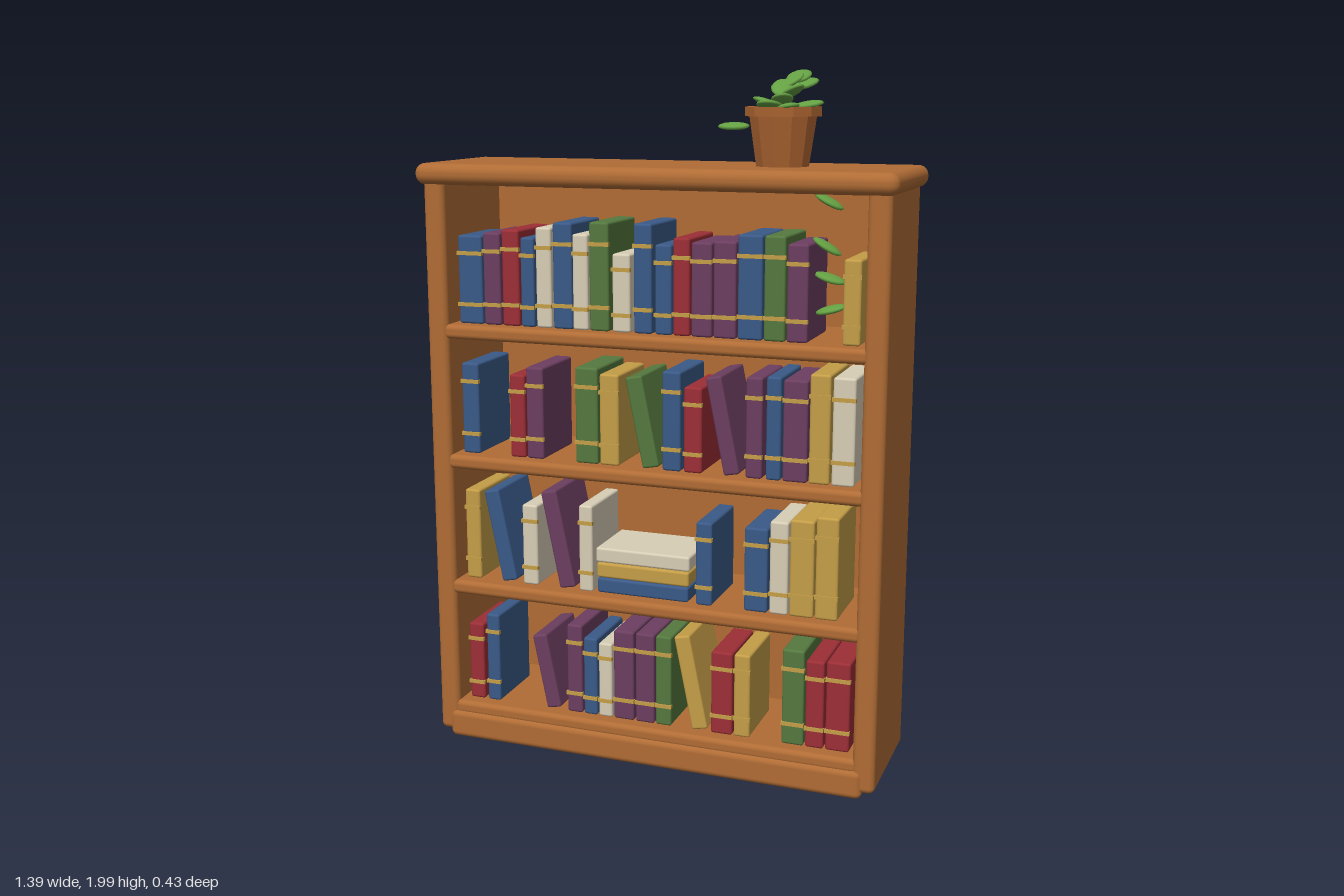
import * as THREE from 'three';
import { RoundedBoxGeometry } from 'three/addons/geometries/RoundedBoxGeometry.js';

const material = (name, color, extra = {}) => {
  const m = new THREE.MeshStandardMaterial({ color, ...extra });
  m.name = name;
  return m;
};

export function createModel() {
  const root = new THREE.Group();
  root.name = 'bookcase';

  const wood = material('wood', 0xb06c35);
  const terracotta = material('terracotta', 0xa8622f, { flatShading: true, side: THREE.DoubleSide });
  const soil = material('soil', 0x4a3020);
  const leafGreen = material('leaf green', 0x65a043);
  const cloth = {
    B: material('blue cloth', 0x3a5a88),
    P: material('purple cloth', 0x6c3e60),
    R: material('red cloth', 0x9c2e36),
    C: material('cream cloth', 0xd8ceb6),
    G: material('green cloth', 0x55793f),
    Y: material('ochre and gold', 0xc49d47),
  };

  const group = (name, parent = root) => {
    const g = new THREE.Group();
    g.name = name;
    parent.add(g);
    return g;
  };
  const add = (parent, name, geometry, mat, x, y, z) => {
    const mesh = new THREE.Mesh(geometry, mat);
    mesh.name = name;
    mesh.position.set(x, y, z);
    parent.add(mesh);
    return mesh;
  };
  const block = (w, h, d, r) => new RoundedBoxGeometry(w, h, d, 3, r);

  // Carcass
  const carcass = group('carcass');
  add(carcass, 'topSlab', block(1.39, 0.06, 0.43, 0.028), wood, 0, 1.708, 0);
  for (const s of [-1, 1]) {
    add(carcass, s > 0 ? 'leftSide' : 'rightSide', block(0.064, 1.68, 0.384, 0.018), wood, s * 0.644, 0.862, 0.002);
  }
  add(carcass, 'backPanel', new THREE.BoxGeometry(1.25, 1.62, 0.02), wood, 0, 0.85, -0.176);
  add(carcass, 'plinth', block(1.28, 0.085, 0.045, 0.018), wood, 0, 0.046, 0.178);
  const shelfTops = [0.119, 0.504, 0.891, 1.278];
  for (const y of shelfTops) {
    add(carcass, 'shelf', block(1.25, 0.042, 0.36, 0.015), wood, 0, y - 0.021, 0.012);
  }

  // Books
  const books = group('books');
  const spineZ = 0.15, depth = 0.21;
  // Each book: colour, left, right, height; a fifth entry makes it lean
  const fillShelf = (baseY, list) => {
    for (const [c, left, right, h, lean] of list) {
      const w = right - left;
      const book = group('book', books);
      book.position.set((left + right) / 2, baseY, 0);
      add(book, 'cover', new RoundedBoxGeometry(w, h, depth, 2, 0.007), cloth[c], 0, h / 2, spineZ - depth / 2);
      if (lean) {
        book.rotation.z = 0.2;
        book.position.y += 0.004;
        continue;
      }
      for (const t of [0.22, 0.8]) {
        add(book, 'spineBand', new THREE.BoxGeometry(w + 0.003, 0.011, 0.012), cloth.Y, 0, h * t, spineZ - 0.002);
      }
    }
  };
  fillShelf(shelfTops[0], [
    ['R', -0.592, -0.544, 0.24], ['B', -0.533, -0.491, 0.275], ['P', -0.336, -0.29, 0.23, true],
    ['P', -0.268, -0.22, 0.275], ['B', -0.215, -0.172, 0.24], ['C', -0.167, -0.125, 0.23],
    ['P', -0.119, -0.056, 0.275], ['P', -0.05, 0.008, 0.275], ['G', 0.013, 0.061, 0.275],
    ['Y', 0.125, 0.173, 0.285, true], ['R', 0.183, 0.247, 0.25], ['Y', 0.252, 0.3, 0.25],
    ['G', 0.395, 0.459, 0.285], ['R', 0.464, 0.517, 0.26], ['R', 0.523, 0.592, 0.265],
  ]);
  fillShelf(shelfTops[1], [
    ['Y', -0.592, -0.544, 0.275], ['B', -0.475, -0.427, 0.28, true], ['C', -0.406, -0.358, 0.245],
    ['P', -0.288, -0.238, 0.295, true], ['C', -0.225, -0.183, 0.26], ['B', 0.135, 0.183, 0.245],
    ['B', 0.279, 0.347, 0.245], ['C', 0.353, 0.406, 0.27], ['Y', 0.411, 0.48, 0.28], ['Y', 0.485, 0.549, 0.295],
  ]);
  fillShelf(shelfTops[2], [
    ['B', -0.592, -0.538, 0.27], ['R', -0.438, -0.39, 0.245], ['P', -0.385, -0.332, 0.27],
    ['G', -0.231, -0.162, 0.28], ['Y', -0.156, -0.098, 0.265], ['G', -0.026, 0.024, 0.265, true],
    ['B', 0.034, 0.088, 0.285], ['R', 0.098, 0.151, 0.245], ['P', 0.216, 0.262, 0.28, true],
    ['P', 0.279, 0.326, 0.285], ['B', 0.337, 0.379, 0.29], ['P', 0.385, 0.454, 0.285],
    ['Y', 0.459, 0.517, 0.305], ['C', 0.523, 0.586, 0.3],
  ]);
  fillShelf(shelfTops[3], [
    ['B', -0.592, -0.517, 0.255], ['P', -0.512, -0.459, 0.265], ['R', -0.453, -0.4, 0.275],
    ['B', -0.395, -0.353, 0.255], ['C', -0.347, -0.3, 0.285], ['B', -0.294, -0.236, 0.3],
    ['C', -0.234, -0.188, 0.27], ['G', -0.183, -0.125, 0.305], ['C', -0.114, -0.061, 0.22],
    ['B', -0.05, 0.003, 0.305], ['B', 0.013, 0.061, 0.25], ['R', 0.066, 0.114, 0.27],
    ['P', 0.119, 0.178, 0.26], ['P', 0.183, 0.247, 0.265], ['B', 0.252, 0.321, 0.285],
    ['G', 0.326, 0.385, 0.285], ['P', 0.39, 0.448, 0.265], ['Y', 0.544, 0.592, 0.23],
  ]);

  // Flat stack of three books
  ['B', 'Y', 'C'].forEach((c, i) => {
    add(books, 'stackedBook', new RoundedBoxGeometry(0.28 + i * 0.004, 0.044, 0.2, 2, 0.007), cloth[c],
      -0.028, shelfTops[1] + 0.024 + i * 0.046, 0.05);
  });

  // Plant pot
  const plant = group('pottedPlant');
  plant.position.set(0.33, 1.737, 0);
  const profile = [[0, 0], [0.074, 0], [0.094, 0.135], [0.107, 0.135], [0.107, 0.16], [0.09, 0.16], [0.085, 0.13]]
    .map(([r, y]) => new THREE.Vector2(r, y));
  add(plant, 'pot', new THREE.LatheGeometry(profile, 12), terracotta, 0, 0, 0);
  add(plant, 'soil', new THREE.CylinderGeometry(0.088, 0.086, 0.01, 12), soil, 0, 0.138, 0);

  // Leaves: offset from the pot, then heading about y and upward tilt
  const leafShape = new THREE.SphereGeometry(1, 14, 8).scale(0.045, 0.01, 0.031);
  const leaf = (x, y, z, heading, tilt) => {
    const mesh = add(plant, 'leaf', leafShape, leafGreen, x, y, z);
    mesh.rotation.set(0.15, heading, tilt, 'YXZ');
  };
  // Crown
  leaf(0.035, 0.22, -0.085, 0.9, 0.3);
  leaf(0.065, 0.165, -0.01, 0.1, 0.15);
  leaf(0.03, 0.24, -0.045, 1.3, 0.35);
  leaf(-0.015, 0.2, -0.035, 2.2, 0.4);
  leaf(-0.045, 0.17, 0.0, 3.0, 0.3);
  leaf(0.0, 0.21, 0.01, 1.7, 0.5);
  leaf(0.03, 0.2, 0.025, 5.6, 0.4);
  leaf(0.01, 0.18, 0.05, 4.9, 0.3);
  leaf(-0.02, 0.165, 0.065, 4.4, 0.2);
  leaf(0.01, 0.225, -0.02, 0.6, 0.5);
  leaf(0.03, 0.16, 0.06, 5.0, 0.1);
  // Trailing leaves
  leaf(-0.138, 0.107, 0.008, 0, 0);
  leaf(0.035, -0.052, -0.02, 0.4, 0);
  leaf(0.145, -0.087, 0.05, 0.2, -0.5);
  leaf(0.145, -0.207, 0.06, 0.2, -0.55);
  leaf(0.155, -0.292, 0.06, 0.1, -0.3);
  leaf(0.16, -0.377, 0.06, 0, 0.25);

  return root;
}
